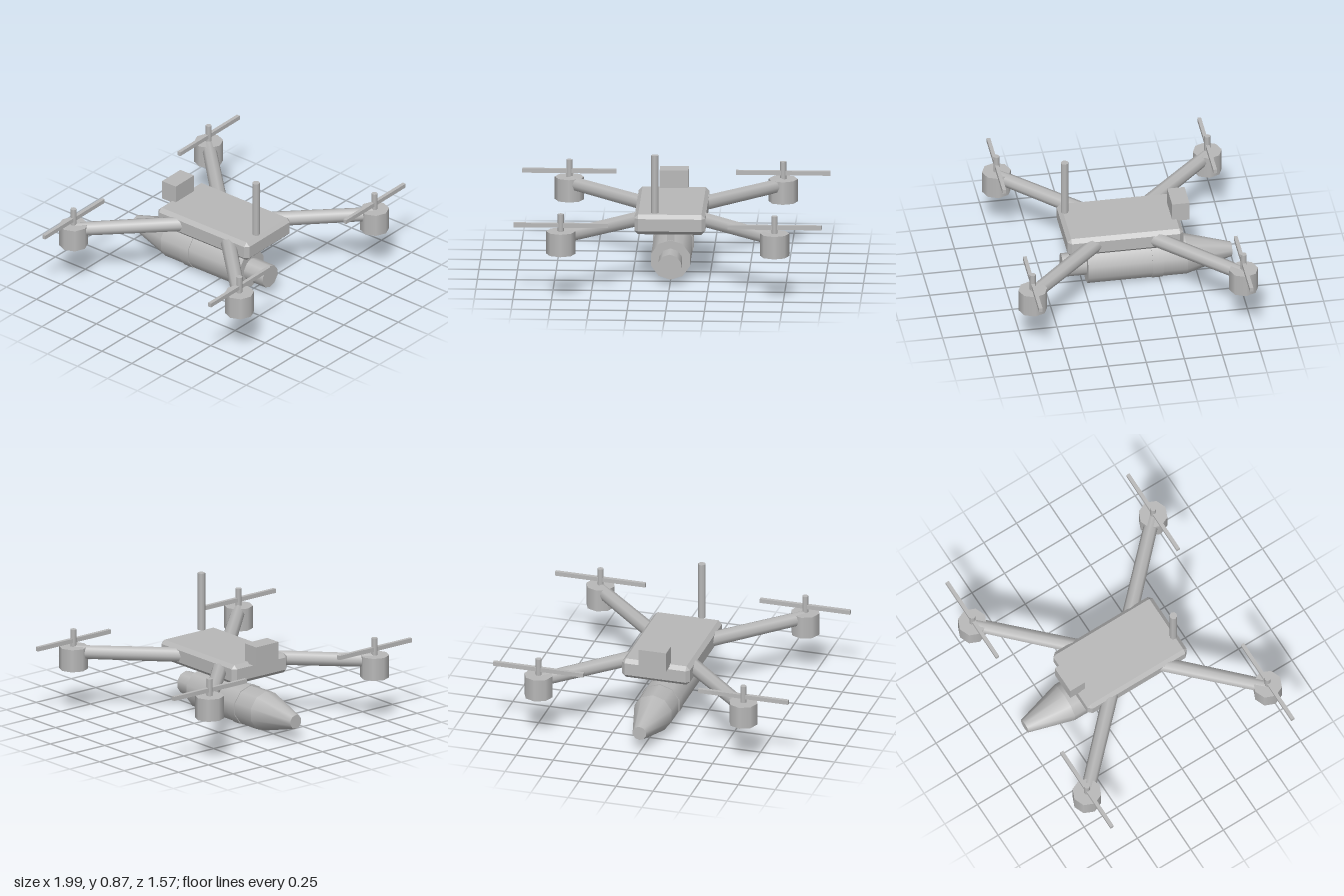
import * as THREE from 'three';
import { ConvexGeometry } from 'three/addons/geometries/ConvexGeometry.js';

export function createModel() {
  const model = new THREE.Group();
  model.name = 'quadcopter';
  const grey = new THREE.MeshStandardMaterial({ color: 0xb8b8b8 });
  grey.name = 'plainGrey';

  function add(parent, name, geometry, x, y, z) {
    const mesh = new THREE.Mesh(geometry, grey);
    mesh.name = name;
    mesh.position.set(x, y, z);
    parent.add(mesh);
    return mesh;
  }

  // Box with every edge chamfered, from half sizes and chamfer width
  function chamferBox(hx, hy, hz, c) {
    const points = [];
    for (const sx of [-1, 1]) for (const sy of [-1, 1]) for (const sz of [-1, 1]) {
      points.push(
        new THREE.Vector3(sx * hx, sy * (hy - c), sz * (hz - c)),
        new THREE.Vector3(sx * (hx - c), sy * hy, sz * (hz - c)),
        new THREE.Vector3(sx * (hx - c), sy * (hy - c), sz * hz));
    }
    return new ConvexGeometry(points);
  }

  // Cylinder lying along z, between two z positions
  function lengthwise(rFront, rBack, zFront, zBack, sides) {
    return new THREE.CylinderGeometry(rFront, rBack, zFront - zBack, sides)
      .rotateX(Math.PI / 2).translate(0, 0, (zFront + zBack) / 2);
  }

  // Central body, rear box and antenna
  add(model, 'body', chamferBox(0.23, 0.066, 0.38, 0.025), 0, 0.407, 0);
  add(model, 'rearBox', new THREE.BoxGeometry(0.187, 0.13, 0.114), 0, 0.525, -0.383);
  add(model, 'antenna', new THREE.CylinderGeometry(0.025, 0.025, 0.384, 8), -0.097, 0.676, 0.347);

  // Four arms with motor, shaft and propeller
  const armGeometry = lengthwise(0.046, 0.05, 0.69 * Math.SQRT2, 0.22, 8);
  const motorGeometry = new THREE.CylinderGeometry(0.095, 0.095, 0.15, 8);
  const shaftGeometry = new THREE.CylinderGeometry(0.02, 0.02, 0.13, 8);
  const propellerGeometry = new THREE.BoxGeometry(0.61, 0.028, 0.024);
  for (const sx of [-1, 1]) for (const sz of [-1, 1]) {
    const rotor = new THREE.Group();
    rotor.name = (sz > 0 ? 'front' : 'rear') + (sx > 0 ? 'Left' : 'Right') + 'Rotor';
    const arm = add(rotor, 'arm', armGeometry, 0, 0.407, 0);
    arm.rotation.y = Math.atan2(sx, sz);
    const x = sx * 0.692, z = sz * 0.692;
    add(rotor, 'motor', motorGeometry, x, 0.37, z);
    add(rotor, 'shaft', shaftGeometry, x, 0.495, z);
    add(rotor, 'propeller', propellerGeometry, x, 0.485, z);
    model.add(rotor);
  }

  // Slung canister: stub, barrel, band and tapered tail
  const canister = new THREE.Group();
  canister.name = 'canister';
  canister.position.y = 0.137;
  add(canister, 'stub', lengthwise(0.077, 0.077, 0.385, 0.22, 10), 0, 0, 0);
  add(canister, 'barrel', lengthwise(0.132, 0.132, 0.228, -0.425, 10), 0, 0, 0);
  add(canister, 'band', lengthwise(0.137, 0.137, -0.194, -0.266, 10), 0, 0, 0);
  add(canister, 'tail', lengthwise(0.132, 0.047, -0.425, -0.73, 10), 0, 0, 0);
  model.add(canister);

  // Struts holding the canister
  for (const z of [0.194, -0.096]) {
    add(model, 'strut', new THREE.BoxGeometry(0.048, 0.09, 0.052), 0, 0.307, z);
  }

  return model;
}
